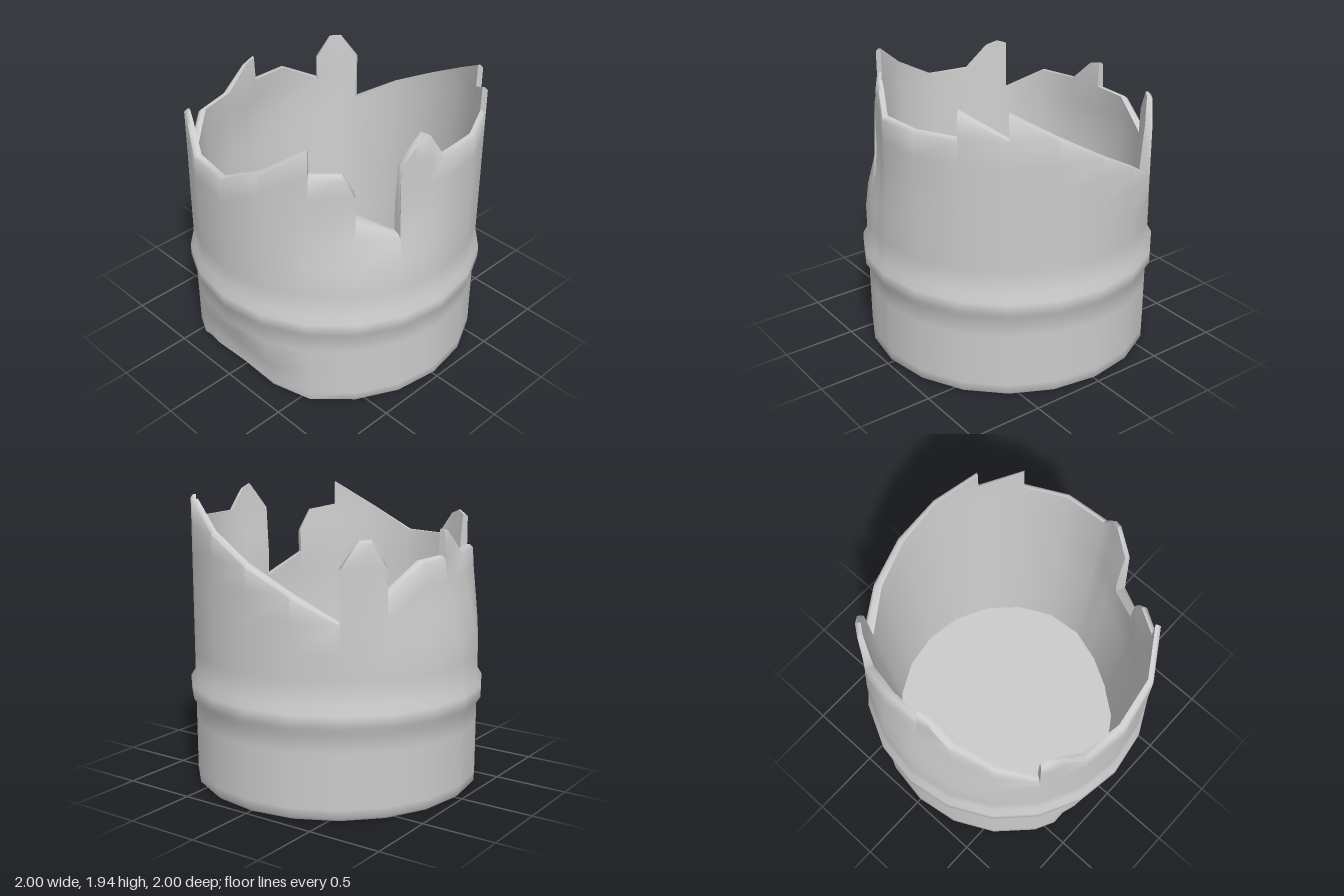
import * as THREE from 'three';
import { toCreasedNormals } from 'three/addons/utils/BufferGeometryUtils.js';

// Broken rim: [angle in degrees from the front towards +x, height].
// A repeated angle is a vertical break.
const RIM = [
  [0, 1.59], [18, 1.75], [36, 1.93], [36, 1.76], [49, 1.73], [54, 1.59], [54, 1.42],
  [72, 1.26], [72, 1.76], [78, 1.88], [81, 1.94], [84.5, 1.91], [90, 1.76], [108, 1.76],
  [126, 1.76], [126, 1.93], [144, 1.77], [144, 1.93], [162, 1.76], [180, 1.59],
  [198, 1.43], [216, 1.26], [216, 1.59], [223, 1.75], [228, 1.75], [234, 1.6],
  [234, 1.43], [252, 1.59], [270, 1.59], [270, 1.76], [276, 1.74], [288, 1.59],
  [306, 1.59], [324, 1.43], [324, 1.76], [328, 1.78], [333, 1.75], [342, 1.59], [360, 1.59],
];
const { smoothstep, degToRad, lerp } = THREE.MathUtils;

// Depth of a rounded dent at an angle
function bump(angle, centre, halfWidth, depth) {
  const d = Math.abs(angle - centre) / halfWidth;
  return d < 1 ? depth * Math.cos(d * Math.PI / 2) ** 2 : 0;
}

// The wall leans inwards at two dents, one on each side
const dent = (a, y, least = 0) =>
  bump(a, 272, 60, 0.14) * Math.max(least, smoothstep(y, 0.9, 1.65)) +
  bump(a, 60, 45, 0.1) * Math.max(least, smoothstep(y, 0.9, 1.42));

const outerR = (a, y) => 0.97 - dent(a, y);
const innerR = (a, y) => Math.min(0.81 + 0.07 * y - dent(a, y, 0.6), outerR(a, y) - 0.035);

// Point on a 20-sided ring
function ringPoint(a, r, y) {
  const f = Math.cos(degToRad(9)) / Math.cos(degToRad((a % 18) - 9));
  const t = degToRad(a);
  return new THREE.Vector3(Math.sin(t) * r * f, y, Math.cos(t) * r * f);
}

// Push the lower front in to a flat face and lift its bottom edge
function flattenFront(p) {
  if (p.y > 0.58) return p;
  const limit = lerp(0.855, 0.99, smoothstep(p.y, 0.06, 0.62));
  const over = p.z - limit;
  if (over > 0) {
    p.z = limit;
    if (p.y < 0.05) p.y += over * 0.3;
  }
  return p;
}

// Loft a surface over all columns; profile(angle, height) lists the points of one column
function loft(name, profile, crease) {
  const cols = RIM.map(([a, h]) => profile(a, h));
  const pos = [];
  const tri = (a, b, c) => {
    const n = b.clone().sub(a).cross(c.clone().sub(a));
    if (n.length() > 1e-7) for (const p of [a, b, c]) pos.push(p.x, p.y, p.z);
  };
  for (let i = 0; i < cols.length - 1; i++) {
    const A = cols[i], B = cols[i + 1];
    for (let j = 0; j < A.length - 1; j++) {
      tri(A[j], B[j], B[j + 1]);
      tri(A[j], B[j + 1], A[j + 1]);
    }
  }
  const geo = new THREE.BufferGeometry();
  geo.setAttribute('position', new THREE.Float32BufferAttribute(pos, 3));
  const mesh = new THREE.Mesh(
    toCreasedNormals(geo, crease),
    new THREE.MeshStandardMaterial({ color: 0xcccccc, side: THREE.DoubleSide }),
  );
  mesh.name = name;
  return mesh;
}

const FOOT = [[0.945, 0], [0.97, 0.022], [0.97, 0.08], [0.97, 0.2], [0.97, 0.32], [0.97, 0.44], [0.97, 0.565]];
const BAND = [[1, 0.61], [1, 0.69], [0.97, 0.74]];
const LEVELS = [0.9, 1.07, 1.26, 1.43, 1.59, 1.76, 2];
const FLOOR_Y = 0.06;

export function createModel() {
  const group = new THREE.Group();
  group.name = 'brokenBarrel';

  // Foot, raised band, wall, bevelled broken edge and inner wall in one run
  group.add(loft('barrelShell', (a, h) => {
    const top = h - 0.02;
    const pts = [...FOOT, ...BAND].map(([r, y]) => flattenFront(ringPoint(a, r, y)));
    for (const level of LEVELS) {
      const y = Math.min(level, top);
      pts.push(ringPoint(a, outerR(a, y), y));
    }
    pts.push(ringPoint(a, outerR(a, h) - 0.02, h));
    for (const level of [...LEVELS].reverse()) {
      const y = Math.min(level, h);
      pts.push(ringPoint(a, innerR(a, y), y));
    }
    pts.push(ringPoint(a, innerR(a, FLOOR_Y), FLOOR_Y));
    return pts;
  }, 0.9));

  // Underside
  group.add(loft('base', (a) => [
    new THREE.Vector3(0, 0, 0),
    flattenFront(ringPoint(a, FOOT[0][0], FOOT[0][1])),
  ], 0.3));

  // Inside floor
  group.add(loft('innerFloor', (a) => [
    ringPoint(a, innerR(a, FLOOR_Y), FLOOR_Y),
    new THREE.Vector3(0, FLOOR_Y, 0),
  ], 0.3));

  return group;
}
